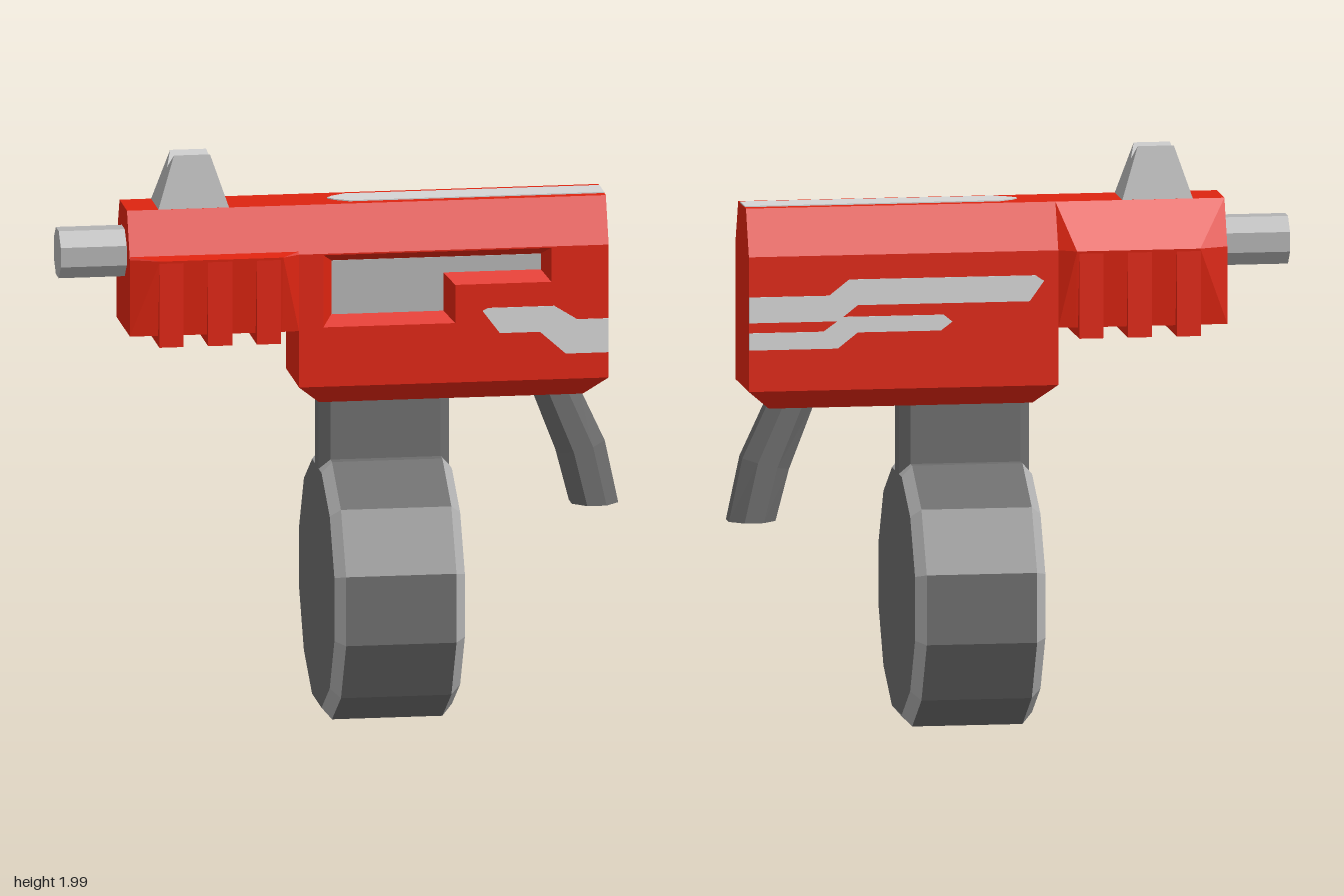
import * as THREE from 'three';
import { ConvexGeometry } from 'three/addons/geometries/ConvexGeometry.js';

const paint = (name, color) => Object.assign(new THREE.MeshStandardMaterial({ color }), { name });

export function createModel() {
  const red = paint('red shell', 0xdd2410);
  const dark = paint('dark grey', 0x6c6c6c);
  const metal = paint('metal grey', 0xb2b2b2);
  const pale = paint('pale stripe', 0xd4d4d4);
  const model = new THREE.Group();
  model.name = 'toyBlaster';

  const add = (name, geometry, material) => {
    const mesh = new THREE.Mesh(geometry, material);
    mesh.name = name;
    model.add(mesh);
    return mesh;
  };
  const flat = (g) => {
    const out = g.index ? g.toNonIndexed() : g;
    out.computeVertexNormals();
    return out;
  };
  const hull = (points) => new ConvexGeometry(points.map((p) => new THREE.Vector3(...p)));
  // Block between two rectangles [x0, x1, z0, z1] at heights y0 and y1
  const block = (y0, a, y1, b = a) => hull([[y0, a], [y1, b]].flatMap(([y, [x0, x1, z0, z1]]) =>
    [[x0, y, z0], [x1, y, z0], [x0, y, z1], [x1, y, z1]]));
  const shape = (pts) => new THREE.Shape(pts.map((p) => new THREE.Vector2(...p)));
  const plate = (s, depth, z) =>
    new THREE.ExtrudeGeometry(s, { depth, bevelEnabled: false }).translate(0, 0, z);
  // Faceted prism along x with a flat on top
  const prismX = (r0, r1, x0, x1, sides, open = false) =>
    flat(new THREE.CylinderGeometry(r1, r0, x1 - x0, sides, 1, open, Math.PI / sides)
      .rotateZ(-Math.PI / 2).translate((x0 + x1) / 2, 0, 0));

  // Main shell
  const W = 0.155;
  const recess = 0.105;
  add('roof', block(1.66, [-0.75, 0.92, -W, W], 1.82, [-0.75, 0.92, -0.088, 0.088]), red);
  add('foreEnd', block(1.39, [-0.75, -0.16, -W, W], 1.66), red);
  add('receiverCore', block(1.19, [-0.16, 0.92, -W, recess], 1.66), red);
  add('belly', block(1.12, [-0.08, 0.84, -0.085, 0.085], 1.19, [-0.16, 0.92, -W, W]), red);

  // Front panel with a stepped, bevelled opening
  const outer = [[-0.075, 1.655], [-0.075, 1.4], [0.385, 1.4], [0.385, 1.535], [0.72, 1.535], [0.72, 1.655]];
  const inner = [[-0.04, 1.625], [-0.04, 1.435], [0.35, 1.435], [0.35, 1.57], [0.69, 1.57], [0.69, 1.625]];
  const panel = shape([[-0.16, 1.19], [0.92, 1.19], [0.92, 1.66], [-0.16, 1.66]]);
  panel.holes.push(new THREE.Path(outer.map((p) => new THREE.Vector2(...p))));
  add('frontPanel', plate(panel, W - recess, recess), red);
  const bevel = [];
  outer.forEach((a, i) => {
    const j = (i + 1) % outer.length;
    const [A, B] = [[...a, W], [...outer[j], W]];
    const [C, D] = [[...inner[j], recess], [...inner[i], recess]];
    bevel.push(...A, ...B, ...C, ...A, ...C, ...D);
  });
  const bevelGeometry = new THREE.BufferGeometry();
  bevelGeometry.setAttribute('position', new THREE.Float32BufferAttribute(bevel, 3));
  add('openingBevel', flat(bevelGeometry), red);
  add('openingFloor', plate(shape(inner), 0.004, recess), metal);

  // Swollen hand guard, sloping from the roof edge at the back and from a ledge at the front
  for (const s of [1, -1]) {
    const top = s > 0 ? [1.67, 0.15] : [1.82, 0.088];
    const points = [
      [-0.75, top[0], s * top[1]], [-0.16, top[0], s * top[1]],
      [-0.65, 1.66, s * 0.192], [-0.22, 1.66, s * 0.192],
      [-0.75, 1.66, s * W], [-0.16, 1.66, s * W],
      [-0.75, 1.39, s * W], [-0.16, 1.39, s * W],
      [-0.65, 1.39, s * 0.16], [-0.22, 1.39, s * 0.16],
      [-0.75, 1.39, 0], [-0.16, 1.39, 0], [-0.75, 1.66, 0], [-0.16, 1.66, 0],
    ];
    add(s > 0 ? 'guardFront' : 'guardBack', hull(points), red);
  }
  for (const x of [-0.61, -0.44, -0.27]) {
    add('guardRib', block(1.355, [x - 0.042, x + 0.042, -0.191, 0.191], 1.655), red);
  }

  // Painted stripes
  add('frontStripe', plate(shape([[0.48, 1.44], [0.5, 1.45], [0.73, 1.45], [0.81, 1.4], [0.919, 1.4],
    [0.919, 1.28], [0.77, 1.28], [0.68, 1.36], [0.54, 1.36]]), 0.006, 0.152), pale);
  add('backUpperStripe', plate(shape([[0.919, 1.52], [0.64, 1.52], [0.57, 1.575], [-0.08, 1.575],
    [-0.11, 1.555], [-0.06, 1.485], [0.54, 1.485], [0.61, 1.43], [0.919, 1.43]]), 0.006, -0.158), pale);
  add('backLowerStripe', plate(shape([[0.919, 1.395], [0.66, 1.395], [0.59, 1.445], [0.24, 1.445],
    [0.21, 1.42], [0.25, 1.39], [0.54, 1.39], [0.61, 1.335], [0.919, 1.335]]), 0.006, -0.158), pale);
  add('topStripe', plate(shape([[-0.04, 0], [-0.02, -0.025], [0.03, -0.055], [0.919, -0.055],
    [0.919, 0.055], [0.03, 0.055], [-0.02, 0.025]]), 0.006, 1.818).rotateX(-Math.PI / 2), pale);

  // Barrel and notched sight
  add('barrel', prismX(0.09, 0.09, -0.98, -0.74, 8), metal).position.y = 1.66;
  for (const s of [1, -1]) {
    const half = [];
    for (const t of [1, -1]) {
      const x = (half) => -0.517 + t * half;
      half.push([x(0.123), 1.82, 0], [x(0.123), 1.82, s * 0.087],
        [x(0.08), 1.95, 0], [x(0.063), 2, s * 0.045]);
    }
    add('sightHalf', hull(half), metal);
  }

  // Magazine neck with chamfered corners
  const neck = shape([[-0.075, -0.045], [-0.04, -0.082], [0.345, -0.082], [0.38, -0.045],
    [0.38, 0.045], [0.345, 0.082], [-0.04, 0.082], [-0.075, 0.045]]);
  add('magazineNeck', plate(neck, 0.4, 0.75).rotateX(-Math.PI / 2), dark);

  // Twelve-sided drum with pale chamfered rims
  const R = 0.471;
  const r = 0.43;
  const drum = [
    ['drumBody', prismX(R, R, -0.04, 0.345, 12, true), dark],
    ['drumRimRight', prismX(r, R, -0.075, -0.04, 12, true), metal],
    ['drumRimLeft', prismX(R, r, 0.345, 0.38, 12, true), metal],
    ['drumFaces', prismX(r, r, -0.075, 0.38, 12), dark],
  ];
  for (const part of drum) add(...part).position.y = 0.46;

  // Bent octagonal grip
  const grip = new THREE.CylinderGeometry(0.088, 0.088, 2, 8, 2, false, Math.PI / 8);
  const p = grip.attributes.position;
  for (let i = 0; i < p.count; i++) {
    const [x, row] = [p.getX(i), Math.round(p.getY(i)) + 1];
    p.setX(i, x + [0.89, 0.843, 0.75][row]);
    p.setY(i, [0.72, 0.92 + x * 0.25, 1.14][row]);
  }
  add('grip', flat(grip), dark);

  return model;
}
